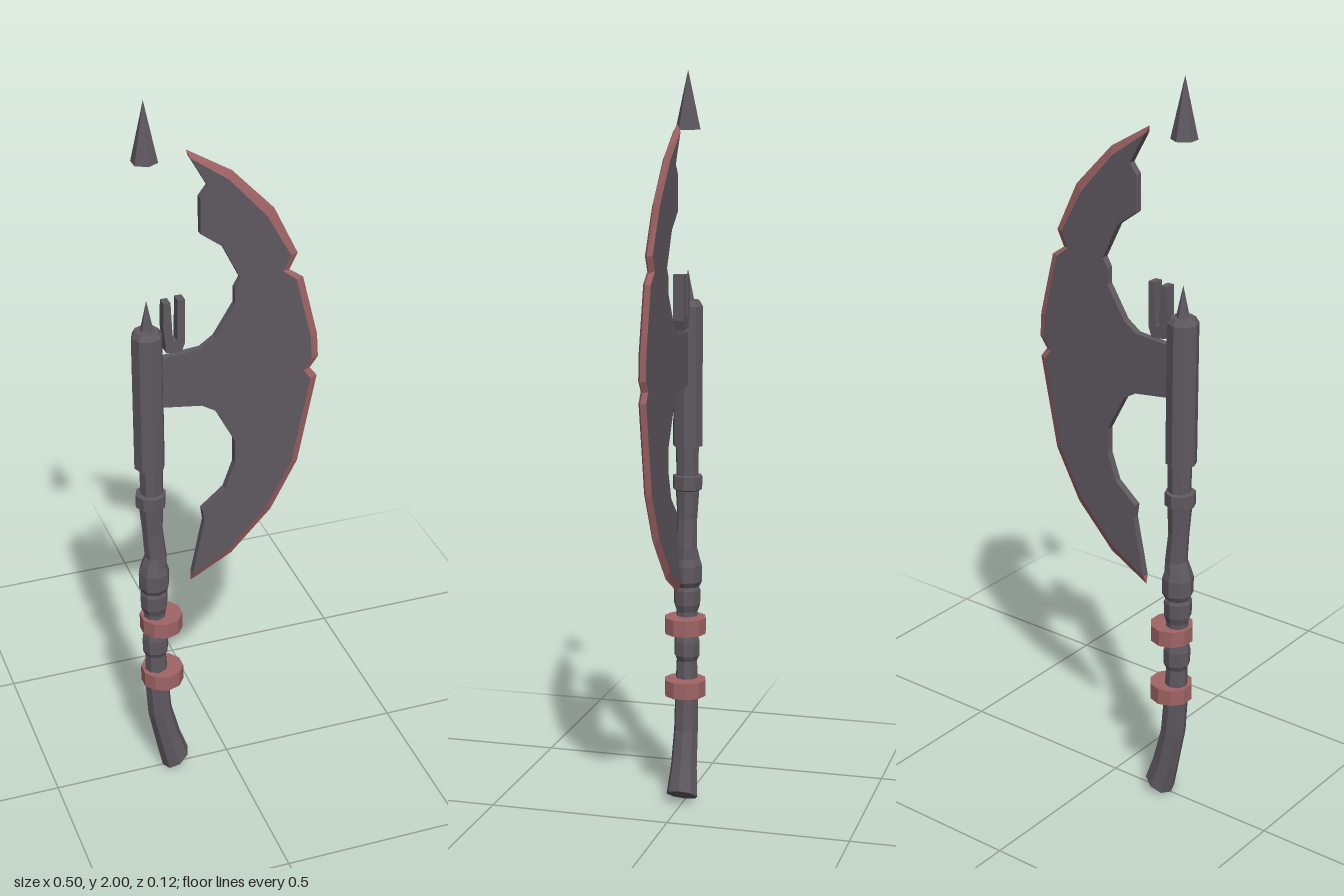
import * as THREE from 'three';

const steel = new THREE.MeshStandardMaterial({ color: 0x5f5960, flatShading: true });
steel.name = 'dark steel';
const red = new THREE.MeshStandardMaterial({ color: 0xa06466, flatShading: true });
red.name = 'dull red';

// Outer cutting line and the line where its bevel meets the plate, top to bottom
const cutting = [[-.103, 1.862], [.013, 1.793], [.124, 1.677], [.188, 1.545], [.167, 1.502], [.204, 1.476], [.246, 1.306],
  [.25, 1.24], [.228, 1.21], [.248, 1.184], [.198, .935], [.124, .797], [.013, .681], [-.103, .617]];
const bevel = [[-.095, 1.842], [.003, 1.773], [.103, 1.661], [.167, 1.545], [.146, 1.505], [.183, 1.476], [.225, 1.306],
  [.229, 1.24], [.207, 1.21], [.227, 1.184], [.178, .941], [.108, .813], [.005, .702], [-.1, .64]];
// Back outline of the blade, bottom to top
const back = [[-.066, .803], [-.071, .84], [-.008, .893], [.019, .967], [.019, 1.036], [-.034, 1.136], [-.071, 1.158],
  [-.19, 1.174], [-.19, 1.311], [-.071, 1.322], [-.034, 1.348], [.019, 1.433], [.019, 1.476], [.034, 1.502],
  [-.013, 1.597], [-.071, 1.64], [-.071, 1.735], [-.05, 1.762]];
const HALF = 0.01;

// Flat plate cut from an outline, centred on z = 0
function plate(points, half) {
  const shape = new THREE.Shape(points.map(([x, y]) => new THREE.Vector2(x, y)));
  const geo = new THREE.ExtrudeGeometry(shape, { depth: half * 2, bevelEnabled: false });
  return geo.translate(0, 0, -half);
}

// Sharp wedge running along the cutting line
function wedge(inner, outer, half) {
  const pos = [], idx = [];
  inner.forEach(([x, y], i) => pos.push(x, y, half, ...outer[i], 0, x, y, -half));
  for (let i = 0; i < inner.length - 1; i++) {
    const a = i * 3, b = a + 3;
    idx.push(a, b, b + 1, a, b + 1, a + 1);
    idx.push(a + 2, b + 1, b + 2, a + 2, a + 1, b + 1);
  }
  const n = (inner.length - 1) * 3;
  idx.push(0, 1, 2, n, n + 2, n + 1);
  return build(pos, idx);
}

// Rings [x, y, radius, tilt] joined from top to bottom
function loft(rings, sides) {
  const pos = [], idx = [];
  rings.forEach(([x, y, r, tilt = 0], i) => {
    for (let j = 0; j < sides; j++) {
      const a = (j / sides) * Math.PI * 2, c = Math.cos(a) * r;
      pos.push(x + c * Math.cos(tilt), y + c * Math.sin(tilt), Math.sin(a) * r);
      if (i < rings.length - 1) {
        const k = i * sides, n = (j + 1) % sides;
        idx.push(k + j, k + n, k + sides + j, k + n, k + sides + n, k + sides + j);
      }
    }
  });
  return build(pos, idx);
}

function build(pos, idx) {
  const geo = new THREE.BufferGeometry();
  geo.setAttribute('position', new THREE.Float32BufferAttribute(pos, 3));
  geo.setIndex(idx);
  geo.computeVertexNormals();
  return geo;
}

export function createModel() {
  const group = new THREE.Group();
  const add = (name, geo, mat, x = 0, y = 0, z = 0) => {
    const mesh = new THREE.Mesh(geo, mat);
    mesh.name = name;
    mesh.position.set(x, y, z);
    group.add(mesh);
    return mesh;
  };

  // Blade
  add('bladePlate', plate([...bevel, ...back], HALF), steel);
  add('bladeEdge', wedge(bevel, cutting, HALF), red);

  // Floating spearhead and the small spike on the socket
  add('spearhead', new THREE.ConeGeometry(0.034, 0.155, 6), steel, -0.207, 1.9225);
  add('spike', new THREE.ConeGeometry(0.02, 0.095, 6), steel, -0.21, 1.43);

  // Socket holding the blade
  add('socket', loft([[-.211, 1.395, 0], [-.211, 1.395, .032], [-.211, 1.38, .041],
    [-.211, 1.0, .041], [-.211, 1.0, 0]], 8), steel);

  // Forked clip beside the socket
  add('clip', plate([[-.165, 1.33], [-.125, 1.325], [-.116, 1.35], [-.114, 1.472], [-.133, 1.472], [-.136, 1.36],
    [-.147, 1.36], [-.152, 1.468], [-.17, 1.468], [-.172, 1.4]], 0.015), steel);

  // Gnarled grip, curving forward at the butt
  add('handle', loft([[-.207, 1.01, .032], [-.207, .92, .031], [-.21, .918, .041], [-.21, .882, .041],
    [-.209, .878, .033], [-.207, .8, .028], [-.2, .72, .03], [-.206, .69, .036], [-.206, .67, .042],
    [-.206, .625, .042], [-.207, .61, .034], [-.207, .6, .038], [-.207, .56, .037], [-.206, .54, .03],
    [-.206, .475, .031], [-.206, .455, .036], [-.206, .415, .036], [-.206, .4, .029], [-.204, .3, .033],
    [-.197, .2, .034, .15], [-.175, .1, .037, .35], [-.155, .024, .044, .57], [-.158, .03, 0]], 8), steel);

  // Red collars around the grip
  for (const [name, y] of [['upperCollar', 0.505], ['lowerCollar', 0.328]]) {
    add(name, new THREE.CylinderGeometry(0.058, 0.058, 0.045, 10), red, -0.188, y);
  }
  return group;
}
